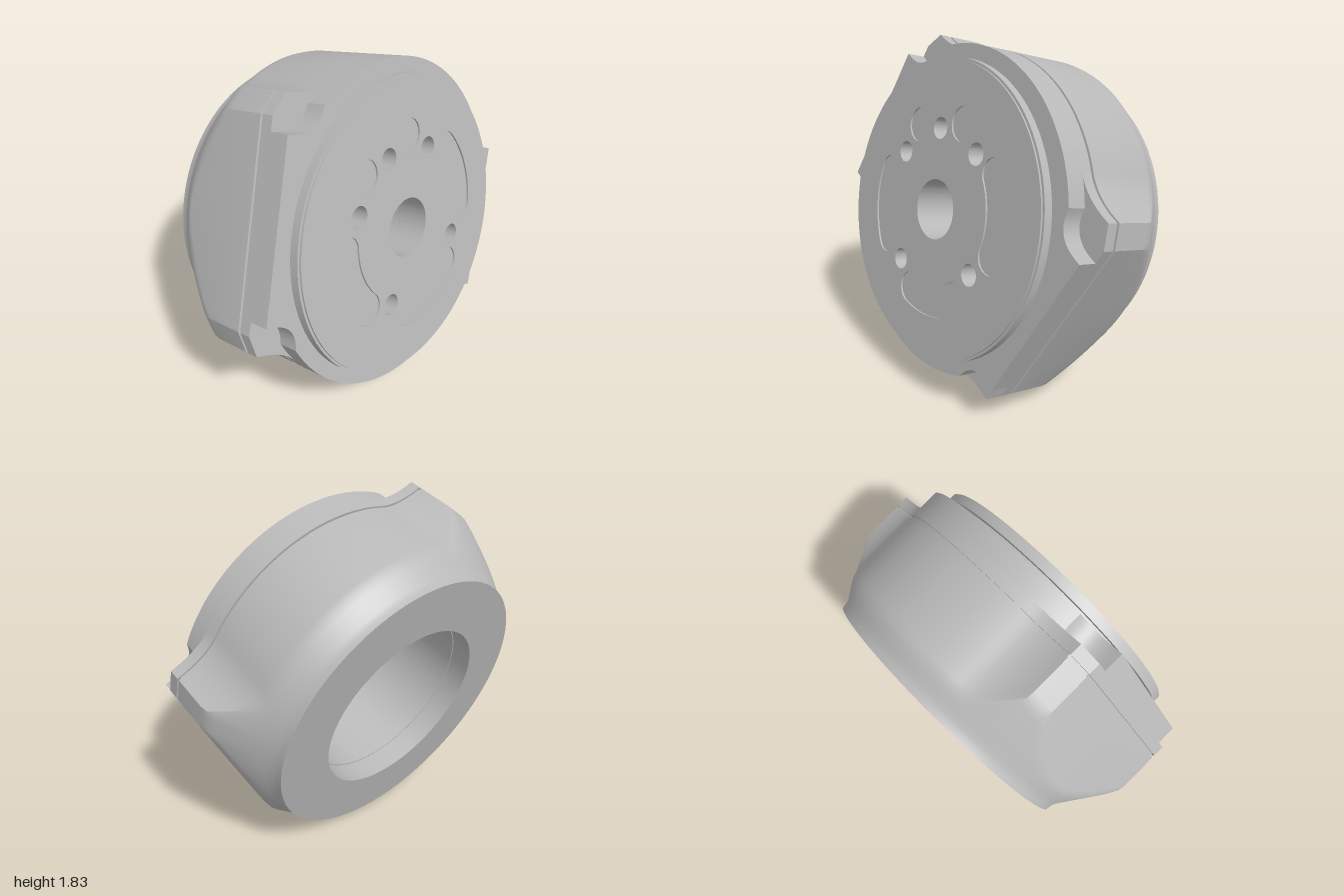
import * as THREE from 'three';
import { toCreasedNormals } from 'three/addons/utils/BufferGeometryUtils.js';

const grey = new THREE.MeshStandardMaterial({ color: 0xb8b8b8 });
grey.name = 'plain grey';

const CREASE = 0.42;
const ARC = 0.866;         // radius of the round sides
const FLAT = 0.855;        // distance of the two flat sides from the axis
const TILT = THREE.MathUtils.degToRad(-26);

const V = (x, y) => new THREE.Vector2(x, y);

function makeMesh(name, geometry) {
  const mesh = new THREE.Mesh(toCreasedNormals(geometry, CREASE), grey);
  mesh.name = name;
  return mesh;
}

// Points along the round side, from an angle to the middle of the side
function arcPoints(from, steps = 18) {
  return Array.from({ length: steps }, (_, i) => {
    const a = from + (Math.PI / 2 - from) * (i + 1) / steps;
    return V(ARC * Math.cos(a), ARC * Math.sin(a));
  });
}

// Mirror a quarter outline into a full, turned, counter-clockwise outline
function fullOutline(quarter) {
  const half = [...quarter, ...quarter.slice(0, -1).reverse().map(p => V(-p.x, p.y))];
  const full = [...half, ...half.slice(1, -1).reverse().map(p => V(p.x, -p.y))];
  return full.map(p => p.clone().rotateAround(V(0, 0), TILT));
}

// Flat side, chamfered lug, concave sweep, round side
function lugOutline() {
  const q = [];
  for (let i = 0; i <= 12; i++) q.push(V(FLAT, 0.5 * i / 12));
  for (let i = 1; i <= 4; i++) q.push(V(FLAT - 0.062 * i / 4, 0.5 + 0.11 * i / 4));
  const a = THREE.MathUtils.degToRad(52);
  const end = V(ARC * Math.cos(a), ARC * Math.sin(a));
  const sweep = new THREE.QuadraticBezierCurve(V(0.793, 0.61), V(0.628, 0.609), end);
  q.push(...sweep.getPoints(10).slice(1), ...arcPoints(a));
  return fullOutline(q);
}

// Same outline with the lugs scooped away
function scoopedOutline() {
  const end = V(0.65, 0.572);
  const scoop = new THREE.CubicBezierCurve(V(0.82, 0.43), V(0.72, 0.43), V(0.66, 0.48), end);
  return fullOutline([
    V(FLAT, 0), V(FLAT, 0.43), ...scoop.getPoints(10), ...arcPoints(Math.atan2(end.y, end.x)),
  ]);
}

function circlePath(x, y, r, Type = THREE.Path) {
  const p = new Type();
  p.absarc(x, y, r, 0, Math.PI * 2, false);
  return p;
}

// Kidney slot following a ring round the axis
function slotPath(fromDeg, toDeg, r, w = 0.085) {
  const [a, b] = [fromDeg, toDeg].map(THREE.MathUtils.degToRad);
  const p = new THREE.Path();
  p.absarc(0, 0, r + w, a, b, false);
  p.absarc(r * Math.cos(b), r * Math.sin(b), w, b, b + Math.PI, false);
  p.absarc(0, 0, r - w, b, a, true);
  p.absarc(r * Math.cos(a), r * Math.sin(a), w, a + Math.PI, a + Math.PI * 2, false);
  return p;
}

// Plate between two heights on the axis
function plate(name, shape, holes, from, to) {
  shape.holes = holes;
  const geo = new THREE.ExtrudeGeometry(shape, {
    depth: to - from, bevelEnabled: false, curveSegments: 48,
  });
  geo.translate(0, 0, from);
  return makeMesh(name, geo);
}

// Housing skin: round neck, cone, then the lug outline where the cone meets it,
// closed by a narrow lip at the front
function housingGeometry(outline, front) {
  const neck = [[-0.855, 0.785], [-0.83, 0.788], [-0.805, 0.796], [-0.775, 0.815], [-0.74, 0.838]];
  const pos = [], idx = [];
  for (const p of outline) {
    const R = p.length();
    const edge = -0.735 + (R - 0.84) / 0.68;
    const soft = Math.min(0.04, (edge + 0.74) * 0.7);
    const column = [
      ...neck,
      [edge - soft, R - soft * 0.68],
      [edge, R - soft * 0.17],
      [edge + soft, R],
      [front, R],
      [front, R * 0.95],
    ];
    for (const [u, r] of column) pos.push(p.x / R * r, p.y / R * r, u);
  }
  const rows = neck.length + 5, n = outline.length;
  for (let i = 0; i < n; i++) {
    for (let j = 0; j < rows - 1; j++) {
      const a = i * rows + j, b = ((i + 1) % n) * rows + j;
      idx.push(a, b, b + 1, a, b + 1, a + 1);
    }
  }
  const geo = new THREE.BufferGeometry();
  geo.setAttribute('position', new THREE.Float32BufferAttribute(pos, 3));
  geo.setIndex(idx);
  return geo;
}

export function createModel() {
  const model = new THREE.Group();
  model.name = 'housing assembly';

  // Everything is built along local z, then leaned over
  const body = new THREE.Group();
  body.name = 'leaning body';
  const axis = new THREE.Vector3(0.951, 0.228, -0.209).normalize();
  const side = new THREE.Vector3(0, 1, 0).cross(axis).normalize();
  const up = axis.clone().cross(side);
  body.quaternion.setFromRotationMatrix(new THREE.Matrix4().makeBasis(side, up, axis));
  body.position.set(0.402, 1.003, -0.064);
  model.add(body);

  const lugs = lugOutline();
  const bolts = [[-0.061, 0.418], [-0.336, 0.24], [0.253, 0.344], [0.354, -0.24], [-0.232, -0.344]];
  const centre = () => circlePath(0, 0, 0.157);
  const drilled = () => [centre(), ...bolts.map(([x, y]) => circlePath(x, y, 0.057))];

  // Rear housing with its bore
  body.add(makeMesh('housing', housingGeometry(lugs, -0.262)));
  const bore = new THREE.LatheGeometry(
    [[0.492, -0.31], [0.492, -0.73], [0.498, -0.73], [0.498, -0.855], [0.785, -0.855]].map(p => V(...p)), 96);
  bore.rotateX(Math.PI / 2);
  body.add(makeMesh('bore', bore));
  body.add(plate('boreFloor', circlePath(0, 0, 0.52, THREE.Shape), [centre()], -0.32, -0.262));

  // Seam groove and front cap
  const seam = lugs.map(p => p.clone().multiplyScalar(0.985));
  body.add(plate('seamGroove', new THREE.Shape(seam), drilled(), -0.262, -0.247));
  body.add(plate('capBase', new THREE.Shape(lugs), drilled(), -0.247, -0.185));
  body.add(plate('scoopedCap', new THREE.Shape(scoopedOutline()), drilled(), -0.185, -0.08));

  // Round front disc on a narrower neck
  body.add(plate('discNeck', circlePath(0, 0, 0.75, THREE.Shape), drilled(), -0.08, -0.055));
  body.add(plate('discRim', circlePath(0, 0, 0.79, THREE.Shape), drilled(), -0.055, -0.01));
  const recesses = [
    circlePath(-0.246, 0.406, 0.09), circlePath(0.116, 0.468, 0.09),
    slotPath(-13, 34, 0.493), slotPath(167, 214, 0.475), slotPath(257, 306, 0.48),
  ];
  body.add(plate('discFace', circlePath(0, 0, 0.777, THREE.Shape), [...drilled(), ...recesses], -0.01, 0));

  return model;
}
